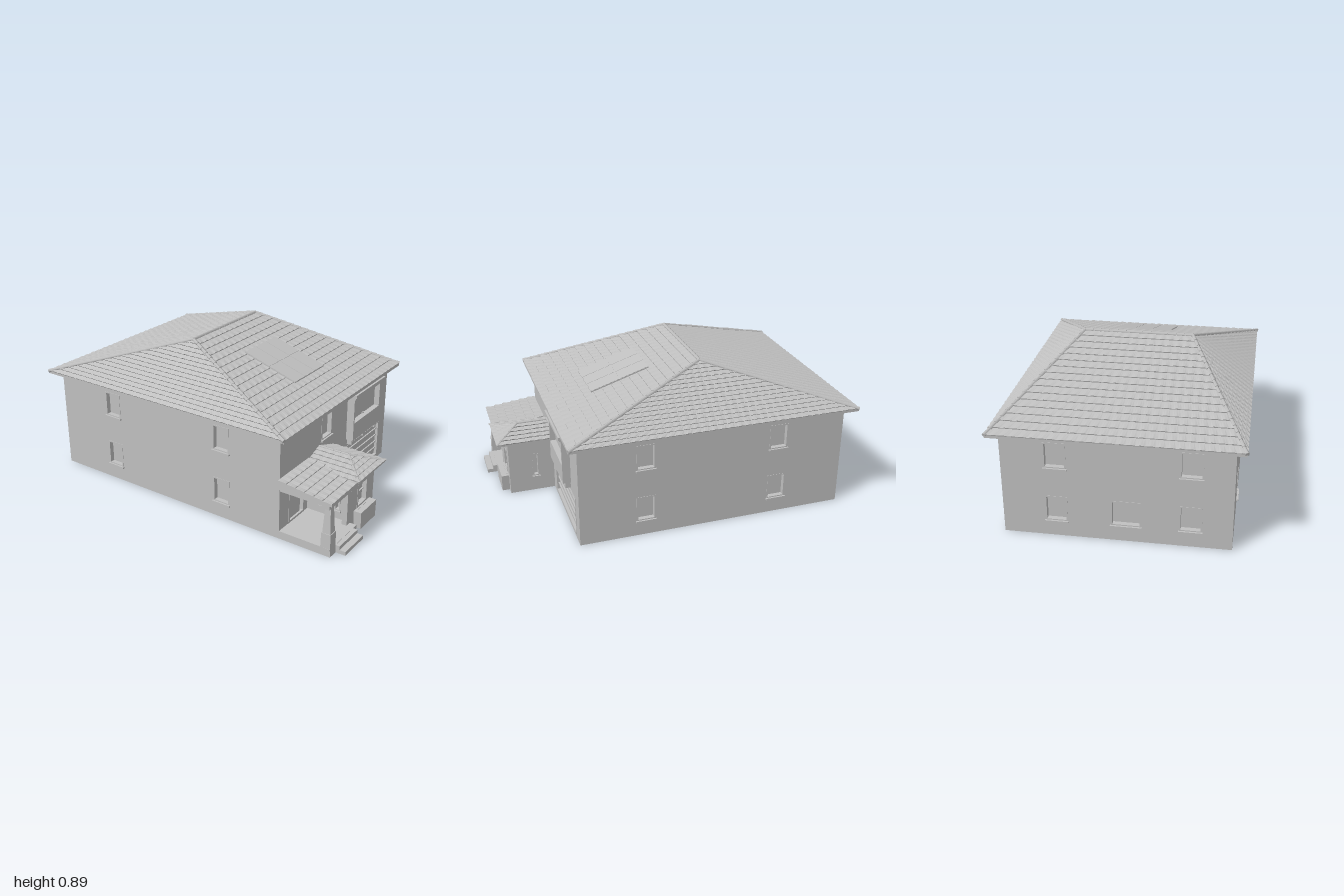
import * as THREE from 'three';

const grey = new THREE.MeshStandardMaterial({ color: 0xc0c0c0, side: THREE.DoubleSide });
grey.name = 'plain grey';
const V = (x, y, z) => new THREE.Vector3(x, y, z);

function add(parent, name, geometry) {
  const m = new THREE.Mesh(geometry, grey);
  m.name = name;
  parent.add(m);
  return m;
}

// Box given by its bounds; the top can be scaled in x and z to taper it
function box(parent, name, x0, x1, y0, y1, z0, z1, topX = 1, topZ = topX) {
  const g = new THREE.BoxGeometry(x1 - x0, y1 - y0, z1 - z0);
  const p = g.attributes.position;
  for (let i = 0; i < p.count; i++) {
    if (p.getY(i) > 0) p.setXYZ(i, p.getX(i) * topX, p.getY(i), p.getZ(i) * topZ);
  }
  g.computeVertexNormals();
  g.translate((x0 + x1) / 2, (y0 + y1) / 2, (z0 + z1) / 2);
  return add(parent, name, g);
}

// Recessed opening in a wall that faces local +z
function opening(wall, { name = 'window', x0, x1, y0, y1, depth = 0.025, sill = true, rails = [], frame = 0.008 }) {
  const g = new THREE.Group();
  g.name = name;
  wall.add(g);
  const f = frame;
  box(g, 'pane', x0, x1, y0, y1, -depth - 0.004, -depth);
  box(g, 'jamb', x0, x0 + f, y0, y1, -depth, 0.002);
  box(g, 'jamb', x1 - f, x1, y0, y1, -depth, 0.002);
  box(g, 'head', x0, x1, y1 - f, y1, -depth, 0.002);
  box(g, 'base', x0, x1, y0, y0 + f, -depth, 0.002);
  if (sill) box(g, 'sill', x0 - 0.004, x1 + 0.004, y0 - 0.008, y0 + 0.002, -0.002, 0.012);
  for (const y of rails) box(g, 'rail', x0, x1, y - 0.003, y + 0.003, -depth, -depth + 0.008);
}

// Thin wall with holes, turned about y and moved into place
function wall(parent, name, x0, x1, h, openings, angle, pos) {
  const s = new THREE.Shape([[x0, 0], [x1, 0], [x1, h], [x0, h]].map(p => new THREE.Vector2(...p)));
  for (const o of openings) {
    s.holes.push(new THREE.Path([[o.x0, o.y0], [o.x0, o.y1], [o.x1, o.y1], [o.x1, o.y0]]
      .map(p => new THREE.Vector2(...p))));
  }
  const g = new THREE.Group();
  g.name = name;
  g.rotation.y = angle;
  g.position.set(...pos);
  parent.add(g);
  add(g, name + 'Face', new THREE.ShapeGeometry(s));
  openings.forEach(o => opening(g, o));
}

// Overlapping wavy tile courses on a face: a, b along the eave, c, d along the ridge
function tiles(parent, a, b, c, d, rows, lift) {
  const n = b.clone().sub(a).cross(d.clone().sub(a)).normalize();
  const len = a.distanceTo(b), dir = b.clone().sub(a).normalize();
  const cols = Math.ceil(len / 0.0125), pos = [];
  const at = (u, t, k) => {
    const p = a.clone().lerp(b, u).lerp(d.clone().lerp(c, u), t);
    const along = p.clone().sub(a).dot(dir);
    return p.addScaledVector(n, k * lift * (0.75 + 0.25 * Math.cos(along / 0.05 * Math.PI * 2)));
  };
  const quad = (p, q, r, s) => [p, q, r, p, r, s].forEach(v => pos.push(v.x, v.y, v.z));
  for (let i = 0; i < rows; i++) {
    const t0 = i / rows, t1 = (i + 1) / rows;
    for (let j = 0; j < cols; j++) {
      const u0 = j / cols, u1 = (j + 1) / cols;
      quad(at(u0, t0, 1), at(u1, t0, 1), at(u1, t1, 0), at(u0, t1, 0));
      quad(at(u0, t0, 0), at(u1, t0, 0), at(u1, t0, 1), at(u0, t0, 1));
    }
  }
  const g = new THREE.BufferGeometry();
  g.setAttribute('position', new THREE.Float32BufferAttribute(pos, 3));
  g.computeVertexNormals();
  add(parent, 'tileCourses', g);
}

// Row of short tapered caps from p up to q
function caps(parent, p, q, r) {
  const n = Math.ceil(p.distanceTo(q) / 0.05), dir = q.clone().sub(p);
  for (let i = 0; i < n; i++) {
    const m = add(parent, 'ridgeCap', new THREE.CylinderGeometry(r * 0.75, r, dir.length() / n, 6));
    m.position.copy(p).addScaledVector(dir, (i + 0.5) / n);
    m.quaternion.setFromUnitVectors(V(0, 1, 0), dir.clone().normalize());
  }
}

// Hip roof from four eave corners and the ridge point above each
function hipRoof(parent, name, c, r, faces, rows, lift, hips, capR) {
  const g = new THREE.Group();
  g.name = name;
  parent.add(g);
  for (const i of faces) {
    const j = (i + 1) % 4;
    tiles(g, c[i], c[j], r[j], r[i], rows, lift);
  }
  for (const i of hips) caps(g, c[i], r[i], capR);
  caps(g, r[1], r[1].equals(r[0]) ? r[2] : r[0], capR);
  return g;
}

export function createModel() {
  const house = new THREE.Group();
  house.name = 'house';
  const H = 0.605, T = Math.PI / 2;

  // Main walls
  const win = (cx, w, y0, h = 0.15, extra = {}) => ({ x0: cx - w / 2, x1: cx + w / 2, y0, y1: y0 + h, ...extra });
  const grid = s => [-0.53, 0.252].flatMap(x => [0.092, 0.41].map(y => win(s * x, 0.11, y)));
  wall(house, 'frontWall', -0.93, 0.63, H, grid(1), 0, [0, 0, 0.61]);
  wall(house, 'backWall', -0.63, 0.93, H, grid(-1), 2 * T, [0, 0, -0.61]);
  wall(house, 'rightWall', -0.61, 0.61, H, [
    win(-0.32, 0.12, 0.092), win(0.05, 0.16, 0.092), win(0.39, 0.12, 0.092),
    win(-0.32, 0.12, 0.41), win(0.39, 0.12, 0.41),
  ], -T, [-0.93, 0, 0]);
  wall(house, 'entranceWall', -0.61, 0.61, H, [
    win(-0.132, 0.115, 0.41, 0.145),
    { name: 'garageDoor', x0: 0.02, x1: 0.53, y0: 0.025, y1: 0.25, depth: 0.015, sill: false, frame: 0.004,
      rails: [0.07, 0.115, 0.16, 0.205] },
    { name: 'doorway', x0: -0.515, x1: -0.355, y0: 0.046, y1: 0.28, depth: 0.02, sill: false, frame: 0.012 },
  ], T, [0.63, 0, 0]);
  box(house, 'frontDoor', 0.61, 0.62, 0.05, 0.265, 0.385, 0.485);
  box(house, 'doorHandle', 0.62, 0.628, 0.145, 0.165, 0.393, 0.398);

  // Main roof with eaves
  const e = 0.612;
  const rf = V(-0.155, 0.88, 0.31), rb = V(-0.155, 0.88, -0.31);
  const roof = hipRoof(house, 'mainRoof',
    [V(-0.995, e, 0.66), V(0.683, e, 0.66), V(0.683, e, -0.66), V(-0.995, e, -0.66)],
    [rf, rf, rb, rb], [0, 1, 2, 3], 16, 0.008, [0, 1, 2, 3], 0.012);
  for (const s of [1, -1]) {
    box(roof, 'sideEave', -0.995, 0.683, 0.597, e, s > 0 ? 0.605 : -0.66, s > 0 ? 0.66 : -0.605);
  }
  box(roof, 'eave', -0.995, -0.925, 0.597, e, -0.605, 0.605);
  box(roof, 'eave', 0.625, 0.683, 0.597, e, -0.605, 0.605);

  // Roof window with six panes lying on the slope
  const skylight = new THREE.Group();
  skylight.name = 'roofWindow';
  skylight.position.set(0.265, 0.758, 0);
  skylight.rotation.z = -Math.atan2(0.268, 0.838);
  for (const x of [-0.09, 0.09]) {
    for (const z of [-0.106, 0, 0.106]) {
      box(skylight, 'roofPane', x - 0.087, x + 0.087, -0.008, 0.001, z - 0.0515, z + 0.0515);
    }
  }
  box(skylight, 'roofWindowBase', -0.178, 0.178, -0.008, -0.001, -0.159, 0.159);
  house.add(skylight);

  // Upper bay with a deep window, lid and brackets
  const bay = new THREE.Group();
  bay.name = 'upperBay';
  house.add(bay);
  box(bay, 'bayBase', 0.63, 0.675, 0.3, 0.41, -0.435, -0.105);
  for (const z of [-0.43, -0.11]) box(bay, 'bayPost', 0.63, 0.675, 0.41, 0.567, z - 0.006, z + 0.006);
  box(bay, 'bayPane', 0.632, 0.642, 0.41, 0.567, -0.425, -0.115);
  box(bay, 'bayHandle', 0.642, 0.648, 0.41, 0.417, -0.285, -0.265);
  box(bay, 'bayLid', 0.63, 0.685, 0.565, 0.582, -0.445, -0.095);
  box(bay, 'bayLidTop', 0.63, 0.693, 0.578, 0.595, -0.455, -0.09);
  for (const z of [-0.42, -0.273, -0.125]) box(bay, 'bracket', 0.63, 0.66, 0.265, 0.3, z - 0.006, z + 0.006);

  // Ground floor bay beside the porch
  const room = new THREE.Group();
  room.name = 'entranceBay';
  house.add(room);
  wall(room, 'bayFront', -0.32, -0.06, 0.335,
    [win(-0.192, 0.115, 0.1, 0.15, { rails: [0.175], frame: 0.012 })], T, [0.9, 0, 0]);
  wall(room, 'bayPorchSide', 0.63, 0.9, 0.335, [win(0.72, 0.034, 0.095), win(0.82, 0.038, 0.095)], 0, [0, 0, 0.32]);
  wall(room, 'bayGarageSide', -0.9, -0.63, 0.335, [win(-0.74, 0.04, 0.095)], 2 * T, [0, 0, -(-0.06)]);
  box(room, 'planter', 0.9, 0.945, 0, 0.1, 0.107, 0.277, 1, 1.06);
  box(room, 'bayCeiling', 0.63, 0.96, 0.322, 0.335, 0.055, 0.36);
  const q0 = V(0.63, 0.388, 0.21), q1 = V(0.815, 0.388, 0.21);
  hipRoof(room, 'bayRoof',
    [V(0.63, 0.333, 0.365), V(0.963, 0.333, 0.365), V(0.963, 0.333, 0.053), V(0.63, 0.333, 0.053)],
    [q0, q1, q1, q0], [0, 1, 2], 5, 0.008, [1, 2], 0.008);

  // Porch: floor, steps, tapered pillar, beams and lean-to roof
  const porch = new THREE.Group();
  porch.name = 'porch';
  house.add(porch);
  box(porch, 'porchFloor', 0.63, 0.94, 0, 0.046, 0.32, 0.61);
  box(porch, 'upperStep', 0.94, 0.965, 0, 0.044, 0.355, 0.55);
  box(porch, 'lowerStep', 0.94, 1.0, 0, 0.022, 0.355, 0.55);
  box(porch, 'pillarBase', 0.882, 0.942, 0, 0.13, 0.55, 0.61, 0.92);
  box(porch, 'pillar', 0.888, 0.936, 0.13, 0.29, 0.556, 0.604, 0.65);
  box(porch, 'halfPillar', 0.87, 0.9, 0.046, 0.24, 0.32, 0.358);
  box(porch, 'frontBeam', 0.89, 0.935, 0.285, 0.315, 0.315, 0.625);
  box(porch, 'sideBeam', 0.63, 0.89, 0.285, 0.315, 0.56, 0.605);
  const wedge = new THREE.Shape([[0.63, 0.308], [0.948, 0.308], [0.948, 0.322], [0.63, 0.362]]
    .map(p => new THREE.Vector2(...p)));
  const wg = new THREE.ExtrudeGeometry(wedge, { depth: 0.305, bevelEnabled: false });
  wg.translate(0, 0, 0.32);
  add(porch, 'porchRoofBase', wg);
  tiles(porch, V(0.95, 0.322, 0.63), V(0.95, 0.322, 0.32), V(0.63, 0.362, 0.32), V(0.63, 0.362, 0.63), 6, 0.008);

  return house;
}
